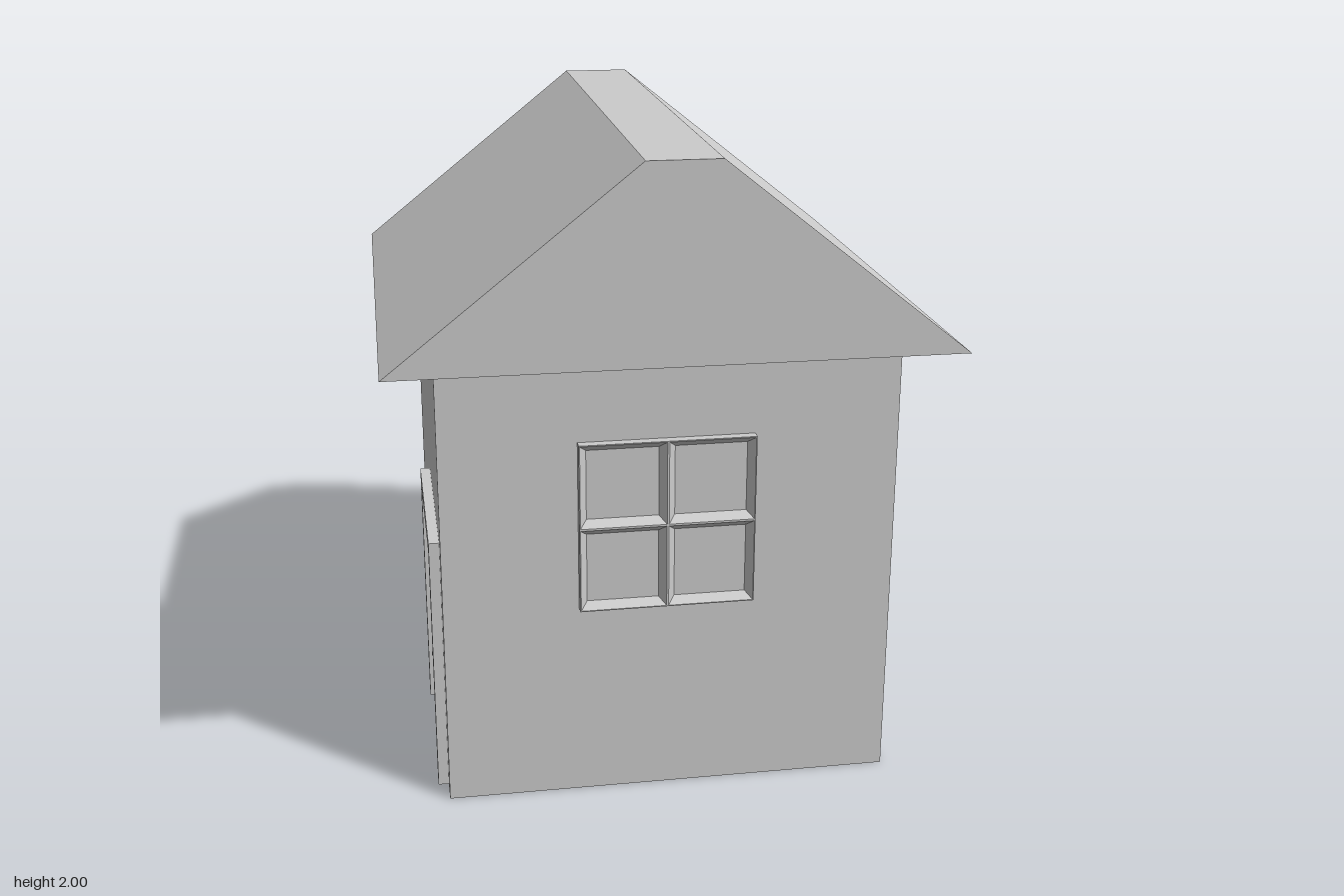
import * as THREE from 'three';

const grey = new THREE.MeshStandardMaterial({ color: 0xcccccc, flatShading: true });
const smooth = new THREE.MeshStandardMaterial({ color: 0xcccccc });

function add(parent, name, geometry, material = grey) {
  const mesh = new THREE.Mesh(geometry, material);
  mesh.name = name;
  parent.add(mesh);
  return mesh;
}

// Box given by its two opposite corners
function box(parent, name, [x0, y0, z0], [x1, y1, z1]) {
  const mesh = add(parent, name, new THREE.BoxGeometry(x1 - x0, y1 - y0, z1 - z0));
  mesh.position.set((x0 + x1) / 2, (y0 + y1) / 2, (z0 + z1) / 2);
  return mesh;
}

function createWindow() {
  const group = new THREE.Group();
  group.name = 'window';
  // Each quarter is a square tray: outer side, thin rim, sloped bevel, flat pane
  const half = 0.1325, depth = 0.03;
  const profile = [
    [half, 0], [half, depth], [half - 0.003, depth], [half - 0.024, 0.004], [0, 0.004],
  ].map(([r, h]) => new THREE.Vector2(r * Math.SQRT2, h));
  const tray = new THREE.LatheGeometry(profile, 4, Math.PI / 4).rotateX(Math.PI / 2);
  for (const sx of [-1, 1]) {
    for (const sy of [-1, 1]) {
      add(group, 'windowPane', tray).position.set(sx * half, sy * half, 0);
    }
  }
  group.position.set(-0.015, 0.885, 0.72);
  return group;
}

function createDoor() {
  const group = new THREE.Group();
  group.name = 'door';
  const wall = -0.688, face = -0.72;
  const z0 = 0.025, z1 = 0.65, y0 = 0.01, y1 = 0.83, w = 0.045;
  // Frame
  box(group, 'doorPost', [face, y0, z0], [wall, y1, z0 + w]);
  box(group, 'doorPost', [face, y0, z1 - w], [wall, y1, z1]);
  box(group, 'doorLintel', [face, y1 - w, z0 + w], [wall, y1, z1 - w]);
  // Leaf and knob
  box(group, 'doorLeaf', [wall - 0.004, y0, z0 + w], [wall, y1 - w, z1 - w]);
  add(group, 'doorKnob', new THREE.SphereGeometry(0.022, 20, 14), smooth).position.set(-0.698, 0.4, 0.52);
  return group;
}

export function createModel() {
  const house = new THREE.Group();
  house.name = 'house';

  box(house, 'walls', [-0.688, 0, -0.72], [0.688, 1.418, 0.72]);

  // Gabled roof with a flat ridge
  const gable = new THREE.Shape([
    [-0.84, 1.418], [0.84, 1.418], [0.108, 2], [-0.108, 2],
  ].map(([x, y]) => new THREE.Vector2(x, y)));
  const roof = new THREE.ExtrudeGeometry(gable, { depth: 1.77, bevelEnabled: false });
  add(house, 'roof', roof.translate(0, 0, -0.885));

  house.add(createWindow(), createDoor());
  return house;
}
